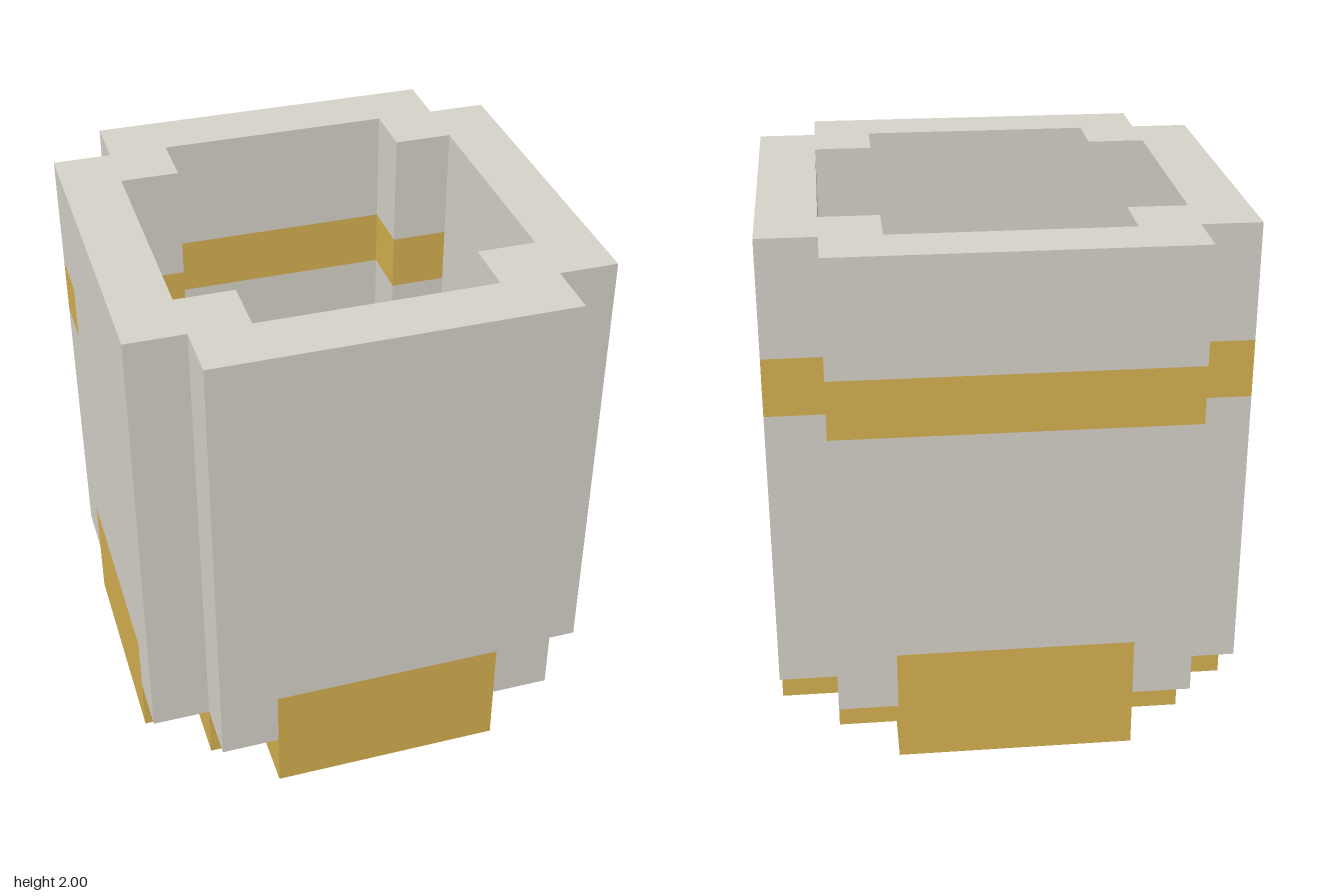
import * as THREE from 'three';

// Everything sits on a square grid: 8 x 8 cells in plan, 9 cells tall.
const CELL = 2 / 9;

const stone = new THREE.MeshStandardMaterial({ color: 0xd6d3ca });
stone.name = 'warm grey stone';
const gold = new THREE.MeshStandardMaterial({ color: 0xd7b152 });
gold.name = 'dull gold';

// Repeat one quarter of an outline around the centre, [x, z] in cells.
function fourfold(quarter) {
  const points = [];
  let part = quarter;
  for (let i = 0; i < 4; i++) {
    points.push(...part);
    part = part.map(([x, z]) => [-z, x]);
  }
  return points;
}

// Upright prism over a plan outline, between two heights in cells.
function prism(name, material, outline, bottom, top, hole) {
  const toPoints = (list) => list.map(([x, z]) => new THREE.Vector2(x * CELL, -z * CELL));
  const shape = new THREE.Shape(toPoints(outline));
  // A hole runs the opposite way round, so its walls face inward.
  if (hole) shape.holes.push(new THREE.Path(toPoints(hole).reverse()));
  const geometry = new THREE.ExtrudeGeometry(shape, {
    depth: (top - bottom) * CELL,
    bevelEnabled: false,
  });
  geometry.rotateX(-Math.PI / 2);
  geometry.translate(0, bottom * CELL, 0);
  const mesh = new THREE.Mesh(geometry, material);
  mesh.name = name;
  return mesh;
}

export function createModel() {
  const model = new THREE.Group();
  model.name = 'notchedTube';

  const wallOuter = fourfold([[4, 3], [3, 3], [3, 4]]);
  const wallInner = fourfold([[3, 2], [2, 2], [2, 3]]);

  // Stepped base ring
  const baseOuter = fourfold([[4, 2], [3, 2], [3, 3], [2, 3], [2, 4]]);
  const baseInner = fourfold([[3, 1], [2, 1], [2, 2], [1, 2], [1, 3]]);
  model.add(prism('baseRing', gold, baseOuter, 0, 1, baseInner));

  // Second layer: gold panels mid-side, stone at the corners
  const panel = [[-2, 3], [2, 3], [2, 4], [-2, 4]];
  const corner = [[2, 2], [4, 2], [4, 3], [3, 3], [3, 4], [2, 4]];
  for (let i = 0; i < 4; i++) {
    const sidePanel = prism('basePanel', gold, panel, 1, 2);
    const cornerPost = prism('cornerFoot', stone, corner, 1, 2);
    sidePanel.rotation.y = cornerPost.rotation.y = (i * Math.PI) / 2;
    model.add(sidePanel, cornerPost);
  }

  // Main wall, below and above the band
  model.add(prism('lowerWall', stone, wallOuter, 2, 6, wallInner));
  model.add(prism('upperWall', stone, wallOuter, 7, 9, wallInner));

  // Band layer: gold wraps the back, stone covers the front and sides
  const backBand = [
    [-4, -2], [-4, -3], [-3, -3], [-3, -4], [3, -4], [3, -3], [4, -3], [4, -2],
    [2, -2], [2, -3], [-2, -3], [-2, -2],
  ];
  const frontWall = [
    [4, -2], [4, 3], [3, 3], [3, 4], [-3, 4], [-3, 3], [-4, 3], [-4, -2],
    [-3, -2], [-3, 2], [-2, 2], [-2, 3], [2, 3], [2, 2], [3, 2], [3, -2],
  ];
  model.add(prism('backBand', gold, backBand, 6, 7));
  model.add(prism('middleWall', stone, frontWall, 6, 7));

  return model;
}
